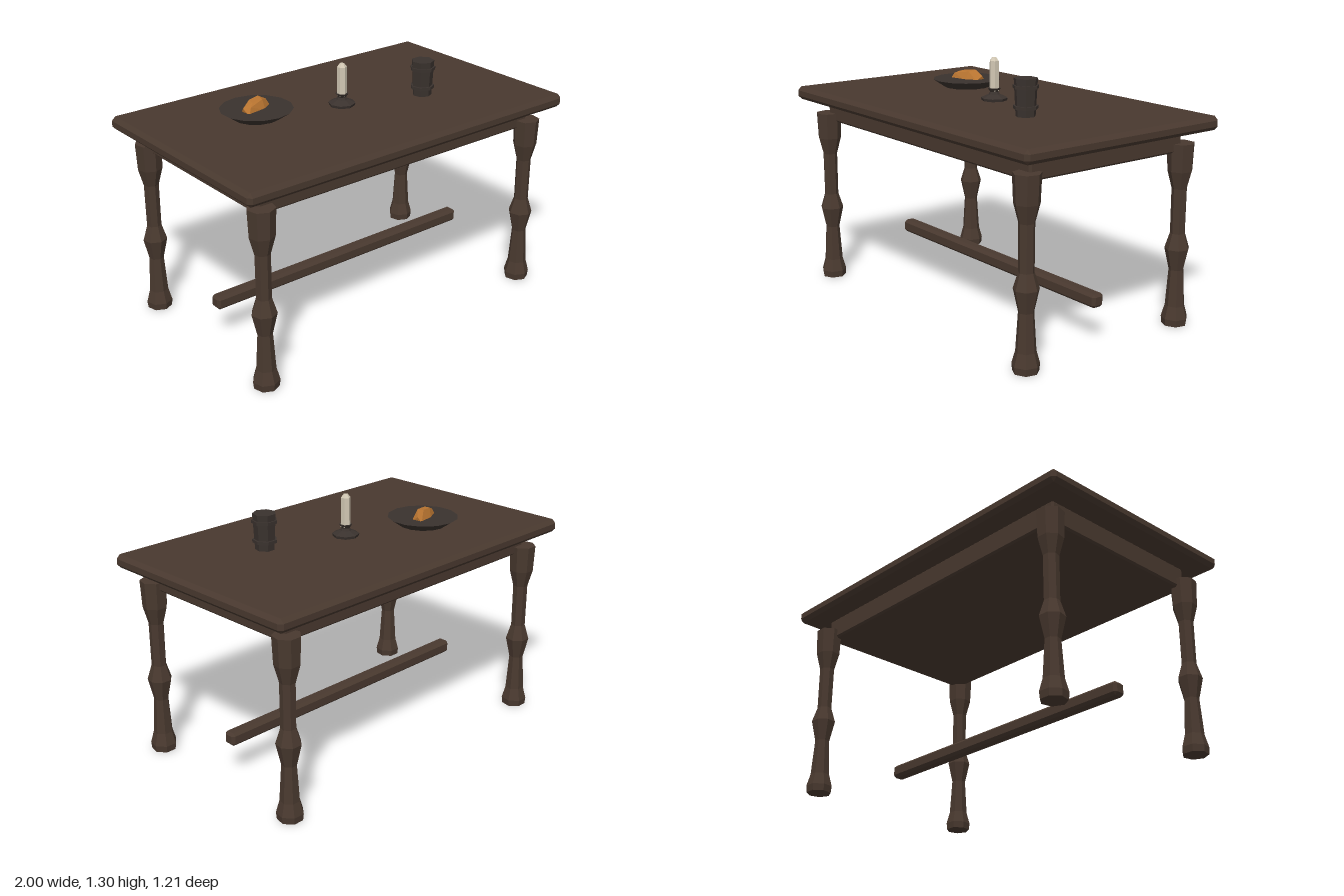
import * as THREE from 'three';
import { ConvexGeometry } from 'three/addons/geometries/ConvexGeometry.js';

const flat = (name, color) => new THREE.MeshStandardMaterial({ name, color, flatShading: true });

// Box with every edge and corner chamfered by c
function chamferBox(w, h, d, c) {
  const half = [w / 2, h / 2, d / 2];
  const points = [];
  for (const sx of [-1, 1]) for (const sy of [-1, 1]) for (const sz of [-1, 1]) {
    for (let full = 0; full < 3; full++) {
      const [x, y, z] = half.map((v, i) => (i === full ? v : v - c));
      points.push(new THREE.Vector3(sx * x, sy * y, sz * z));
    }
  }
  return new ConvexGeometry(points);
}

// Closed turned shape from [radius, height] pairs, bottom to top
function turned(profile, sides) {
  const points = profile.map(([r, y]) => new THREE.Vector2(r, y));
  points.unshift(new THREE.Vector2(0, profile[0][1]));
  points.push(new THREE.Vector2(0, profile[profile.length - 1][1]));
  return new THREE.LatheGeometry(points, sides);
}

export function createModel() {
  const wood = flat('dark wood', 0x49392f);
  const metal = flat('dark metal', 0x3a322e);
  const crust = flat('bread crust', 0xb87430);
  const wax = flat('candle wax', 0xd2c8b4);

  const table = new THREE.Group();
  table.name = 'table';
  const add = (parent, name, geometry, material, x = 0, y = 0, z = 0) => {
    const mesh = new THREE.Mesh(geometry, material);
    mesh.name = name;
    mesh.position.set(x, y, z);
    parent.add(mesh);
    return mesh;
  };
  const group = (name, x, y, z) => {
    const g = new THREE.Group();
    g.name = name;
    g.position.set(x, y, z);
    table.add(g);
    return g;
  };

  // Top, apron block and stretcher
  add(table, 'tableTop', chamferBox(2, 0.07, 1.21, 0.02), wood, 0, 1.045, 0);
  add(table, 'apron', chamferBox(1.74, 0.12, 0.96, 0.01), wood, 0, 0.955, 0);
  add(table, 'stretcher', chamferBox(1.64, 0.07, 0.07, 0.014), wood, 0, 0.217, 0);

  // Turned legs
  const leg = turned([
    [0.064, 0], [0.068, 0.035], [0.05, 0.1], [0.038, 0.29], [0.063, 0.4],
    [0.038, 0.48], [0.039, 0.71], [0.063, 0.8], [0.069, 0.94],
  ], 7);
  for (const sx of [-1, 1]) for (const sz of [-1, 1]) {
    const name = (sz > 0 ? 'front' : 'back') + (sx > 0 ? 'Left' : 'Right') + 'Leg';
    add(table, name, leg, wood, sx * 0.86, 0, sz * 0.488);
  }

  // Plate with a loaf
  const plate = group('plateWithBread', -0.43, 1.08, -0.145);
  add(plate, 'plate', turned([[0.125, 0], [0.187, 0.043]], 14), metal);
  const loaf = [
    [-0.085, 0.035, -0.01], [-0.08, 0.035, 0.055], [-0.01, 0.035, -0.05], [0.078, 0.035, -0.062],
    [0.085, 0.035, 0.0], [0.03, 0.035, 0.035], [-0.088, 0.062, 0.012], [-0.06, 0.07, 0.04],
    [0.085, 0.062, -0.04], [-0.03, 0.086, -0.02], [0.035, 0.09, -0.035], [0.03, 0.084, 0.01],
    [-0.035, 0.083, 0.018],
  ];
  add(plate, 'bread', new ConvexGeometry(loaf.map((p) => new THREE.Vector3(...p))), crust);

  // Candle in its holder
  const candle = group('candlestick', 0, 1.08, 0);
  add(candle, 'holder', turned([[0.066, 0], [0.07, 0.014], [0.03, 0.032], [0.022, 0.045], [0.034, 0.064]], 8), metal);
  add(candle, 'candle', turned([[0.026, 0.05], [0.025, 0.205], [0.012, 0.222]], 6), wax);

  // Tankard with two hoops
  const tankard = group('tankard', 0.425, 1.08, 0.14);
  add(tankard, 'cup', turned([[0.05, 0], [0.06, 0.186]], 7), metal);
  for (const [y, r] of [[0.045, 0.063], [0.145, 0.066]]) {
    add(tankard, 'hoop', turned([[r, -0.008], [r, 0.008]], 7), metal, 0, y, 0);
  }

  return table;
}
